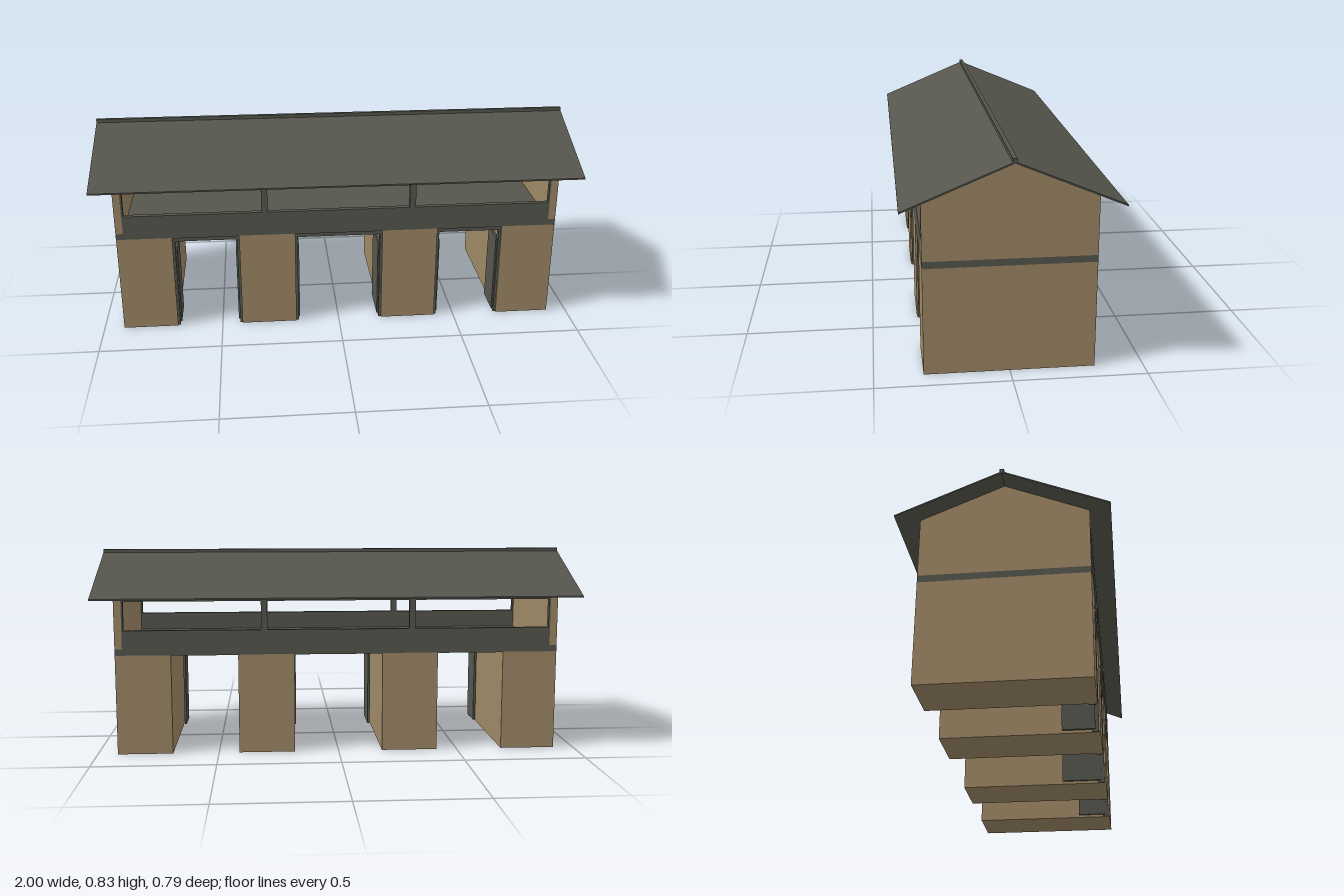
import * as THREE from 'three';

const wall = new THREE.MeshStandardMaterial({ color: 0x9e8865 });
wall.name = 'tan plaster';
const timber = new THREE.MeshStandardMaterial({ color: 0x56564e });
timber.name = 'dark grey timber';

// Box given by its min and max along each axis
function box(parent, name, mat, [x0, x1], [y0, y1], [z0, z1]) {
  const mesh = new THREE.Mesh(new THREE.BoxGeometry(x1 - x0, y1 - y0, z1 - z0), mat);
  mesh.position.set((x0 + x1) / 2, (y0 + y1) / 2, (z0 + z1) / 2);
  mesh.name = name;
  parent.add(mesh);
  return mesh;
}

// Side profile (z, y) extruded along x and starting at x0
function sideProfile(parent, name, mat, points, x0, length) {
  const shape = new THREE.Shape(points.map(([z, y]) => new THREE.Vector2(-z, y)));
  const geo = new THREE.ExtrudeGeometry(shape, { depth: length, bevelEnabled: false });
  geo.rotateY(Math.PI / 2);
  const mesh = new THREE.Mesh(geo, mat);
  mesh.position.x = x0;
  mesh.name = name;
  parent.add(mesh);
}

export function createModel() {
  const model = new THREE.Group();
  model.name = 'gatehouse';
  const D = 0.318;

  // Four piers
  for (const [a, b] of [[-0.917, -0.69], [-0.415, -0.183], [0.183, 0.415], [0.69, 0.917]])
    box(model, 'pier', wall, [a, b], [0, 0.414], [-D, D]);

  // Floor of the upper gallery
  box(model, 'gallerySlab', timber, [-0.917, 0.917], [0.412, 0.44], [-D, D]);

  // Three passages with open door leaves folded against the piers
  for (const [a, b, leaf] of [[-0.69, -0.415, 0.13], [-0.183, 0.183, 0.172], [0.415, 0.69, 0.13]]) {
    const gate = new THREE.Group();
    gate.name = 'gate';
    box(gate, 'lintel', timber, [a, b], [0.395, 0.413], [0.285, 0.312]);
    for (const [edge, s] of [[a, 1], [b, -1]]) {
      const span = (p, q) => [Math.min(edge + s * p, edge + s * q), Math.max(edge + s * p, edge + s * q)];
      box(gate, 'doorPost', timber, span(0, 0.01), [0, 0.396], [0.285, 0.312]);
      box(gate, 'doorLeaf', timber, span(0.006, 0.016), [0.01, 0.35], [0.298 - leaf, 0.298]);
    }
    model.add(gate);
  }

  // Gable walls
  for (const x of [-0.917, 0.887])
    sideProfile(model, 'gableWall', wall,
      [[D, 0.44], [D, 0.682], [0, 0.815], [-D, 0.682], [-D, 0.44]], x, 0.03);

  // Parapet, posts and top rail on the front and back
  for (const s of [1, -1]) {
    const zs = (p, q) => (s > 0 ? [p, q] : [-q, -p]);
    box(model, 'parapet', timber, [-0.887, 0.887], [0.44, 0.516], zs(0.298, D));
    box(model, 'topRail', timber, [-0.887, 0.887], [0.635, 0.675], zs(0.298, D));
    for (const x of [-0.307, 0.307])
      box(model, 'galleryPost', timber, [x - 0.013, x + 0.013], [0.516, 0.635], zs(0.298, D));
    for (const x of [-0.884, 0.884])
      box(model, 'endPost', timber, [x - 0.004, x + 0.004], [0.516, 0.635], zs(0.298, D));
  }

  // Roof shell and ridge cap
  sideProfile(model, 'roof', timber,
    [[0.397, 0.648], [0.397, 0.654], [0, 0.82], [-0.397, 0.654], [-0.397, 0.648], [0, 0.814]], -1, 2);
  box(model, 'ridgeCap', timber, [-1, 1], [0.817, 0.831], [-0.008, 0.008]);

  return model;
}
